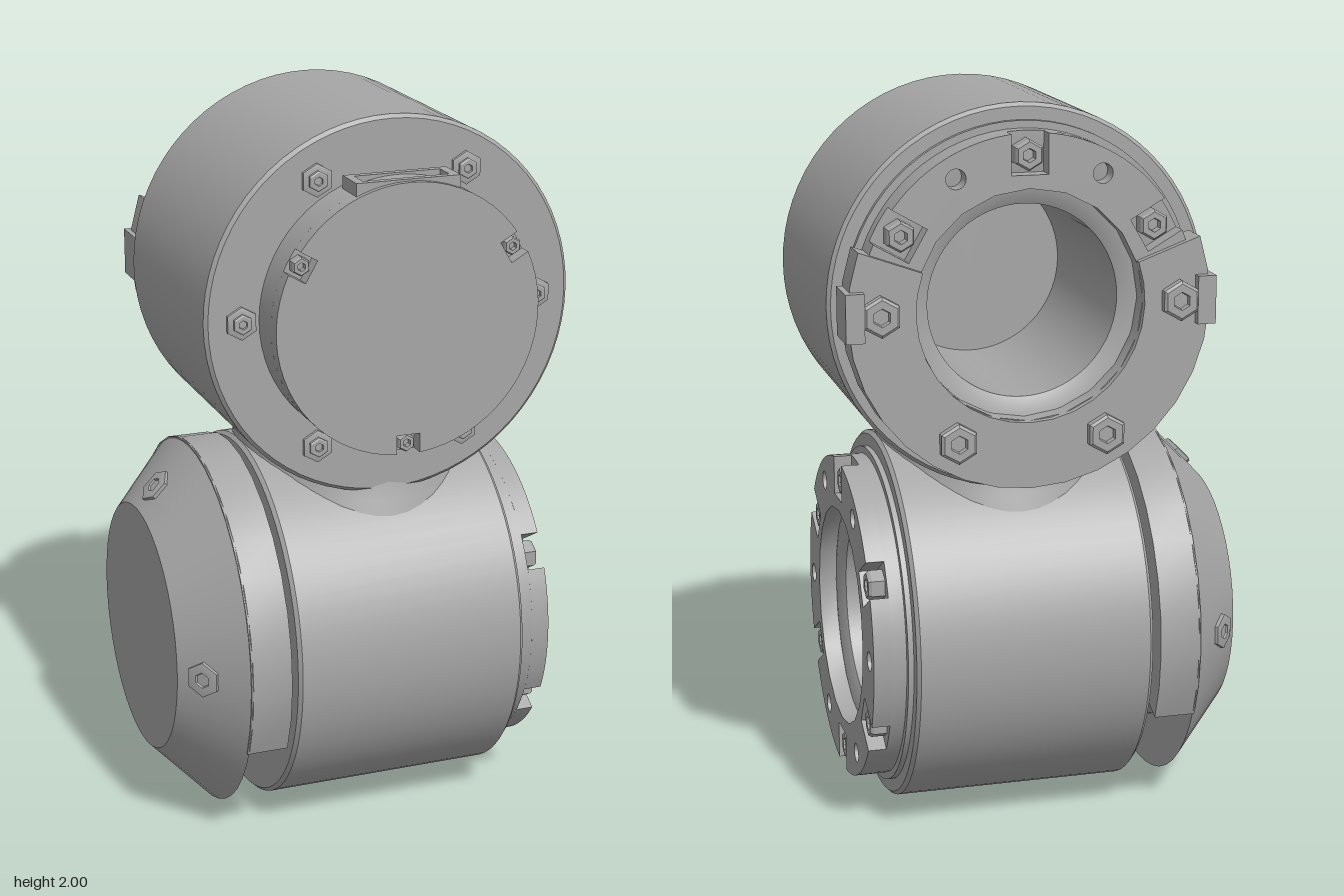
import * as THREE from 'three';
import { toCreasedNormals } from 'three/addons/utils/BufferGeometryUtils.js';

const metal = new THREE.MeshStandardMaterial({ color: 0xa6a6a6 });
metal.name = 'grey metal';
const rad = THREE.MathUtils.degToRad;

function add(parent, name, geometry, x = 0, y = 0, z = 0) {
  const mesh = new THREE.Mesh(toCreasedNormals(geometry, 0.5), metal);
  mesh.name = name;
  mesh.position.set(x, y, z);
  parent.add(mesh);
  return mesh;
}

// Turned part along z from [radius, z] pairs, listed from the low end outwards and up
function turned(points, segments = 64) {
  const profile = points.map(([r, z]) => new THREE.Vector2(r, z));
  return new THREE.LatheGeometry(profile, segments).rotateX(Math.PI / 2);
}

function extruded(shape, depth) {
  return new THREE.ExtrudeGeometry(shape, { depth, bevelEnabled: false, curveSegments: 10 });
}

function circleHole(shape, r, x = 0, y = 0) {
  const hole = new THREE.Path();
  hole.absarc(x, y, r, 0, Math.PI * 2, true);
  shape.holes.push(hole);
}

// Disc with straight-sided notches cut in from the rim
function notchedDisc(radius, floor, halfWidth, angles) {
  const shape = new THREE.Shape();
  const delta = Math.asin(halfWidth / radius);
  angles.forEach((deg, i) => {
    const a = rad(deg);
    const next = rad(i + 1 < angles.length ? angles[i + 1] : angles[0] + 360);
    const c = Math.cos(a), s = Math.sin(a);
    for (const side of [-halfWidth, halfWidth]) {
      const x = floor * c - side * s, y = floor * s + side * c;
      if (i === 0 && side < 0) shape.moveTo(x, y);
      else shape.lineTo(x, y);
    }
    shape.absarc(0, 0, radius, a + delta, next - delta, false);
  });
  return shape;
}

// Part of a ring between two angles in degrees
function ringSector(inner, outer, from, to) {
  const shape = new THREE.Shape();
  shape.absarc(0, 0, outer, rad(from), rad(to), false);
  shape.absarc(0, 0, inner, rad(to), rad(from), true);
  shape.closePath();
  return shape;
}

// Hexagonal head with a socket
function bolt(parent, deg, ring, z, size, height) {
  const geometry = turned([
    [0, -0.01], [size, -0.01], [size, height * 0.8], [size * 0.85, height],
    [size * 0.45, height], [size * 0.4, height * 0.5], [0, height * 0.5],
  ], 6);
  return add(parent, 'bolt', geometry, ring * Math.cos(rad(deg)), ring * Math.sin(rad(deg)), z);
}

// Bored drum with a notched flange, flange facing +z
function actuator(name, boltAngles) {
  const group = new THREE.Group();
  group.name = name;
  add(group, 'drum', turned([
    [0, -0.33], [0.51, -0.33], [0.52, -0.32], [0.52, 0.32], [0.51, 0.33], [0.475, 0.33],
    [0.475, 0.345], [0.455, 0.345], [0.455, 0.385], [0.3, 0.385], [0.26, 0.365],
    [0.26, -0.2], [0, -0.2],
  ], 72));
  const flange = notchedDisc(0.455, 0.345, 0.05, [30, 90, 150, 210, 270, 330]);
  circleHole(flange, 0.31);
  for (let deg = 0; deg < 360; deg += 60) {
    circleHole(flange, 0.027, 0.395 * Math.cos(rad(deg)), 0.395 * Math.sin(rad(deg)));
  }
  add(group, 'flange', extruded(flange, 0.05), 0, 0, 0.385);
  for (const deg of boltAngles) bolt(group, deg, 0.395, 0.385, 0.042, 0.045);
  return group;
}

export function createModel() {
  const model = new THREE.Group();
  model.name = 'doubleJoint';

  // Lower joint: axis along x, flange on the left
  const lower = actuator('lowerJoint', [30, 90, 150, 210, 270, 330]);
  lower.position.set(0.05, 0.52, 0);
  lower.rotation.y = Math.PI / 2;
  model.add(lower);

  // Conical end cap with a skirt left open at the bottom
  add(lower, 'endCap', turned([[0, -0.62], [0.35, -0.62], [0.52, -0.46], [0, -0.46]], 48));
  add(lower, 'capHub', turned([[0.365, -0.46], [0.365, -0.33]], 48));
  add(lower, 'capSkirt', extruded(ringSector(0.36, 0.52, -24, 204), 0.115), 0, 0, -0.465);
  const axis = new THREE.Vector3(0, 0, 1);
  for (const deg of [0, 90, 180]) {
    const screw = bolt(lower, deg, 0.41, -0.564, 0.05, 0.01);
    const normal = new THREE.Vector3(0.685 * Math.cos(rad(deg)), 0.685 * Math.sin(rad(deg)), -0.728);
    screw.name = 'capScrew';
    screw.quaternion.setFromUnitVectors(axis, normal.normalize());
  }

  // Upper joint: axis along z, flange at the back
  const upper = actuator('upperJoint', [30, 90, 150]);
  upper.position.set(0.05, 1.48, 0);
  upper.rotation.y = Math.PI;
  model.add(upper);

  // Clamp around the lower part of the back flange
  add(upper, 'clamp', extruded(ringSector(0.31, 0.49, 160, 380), 0.095), 0, 0, 0.36);
  for (const deg of [0, 180, 240, 300]) bolt(upper, deg, 0.405, 0.455, 0.055, 0.027);
  for (const side of [-1, 1]) {
    add(upper, 'clampLug', new THREE.BoxGeometry(0.05, 0.13, 0.12), side * 0.475, 0, 0.42);
  }

  // Front cover with screws in notches and around it
  const front = new THREE.Group();
  front.name = 'frontCover';
  front.position.copy(upper.position);
  model.add(front);
  add(front, 'coverBase', turned([[0.37, 0.33], [0.37, 0.425], [0, 0.425]]));
  add(front, 'coverPlate', extruded(notchedDisc(0.37, 0.315, 0.033, [30, 150, 270]), 0.04), 0, 0, 0.425);
  for (const deg of [30, 150, 270]) bolt(front, deg, 0.342, 0.425, 0.026, 0.03);
  for (let deg = 0; deg < 360; deg += 60) {
    bolt(front, deg, 0.42, 0.33, 0.045, 0.012);
    bolt(front, deg, 0.42, 0.34, 0.028, 0.012);
  }

  // Raised rectangular frame on top of the cover
  const frame = new THREE.Shape([[-0.145, -0.05], [0.145, -0.05], [0.145, 0.05], [-0.145, 0.05]]
    .map(([x, y]) => new THREE.Vector2(x, y)));
  frame.holes.push(new THREE.Path([[-0.12, -0.03], [-0.12, 0.03], [0.12, 0.03], [0.12, -0.03]]
    .map(([x, y]) => new THREE.Vector2(x, y))));
  add(front, 'topFrame', extruded(frame, 0.04).rotateX(-Math.PI / 2), 0, 0.335, 0.4);

  // Neck joining the two drums, flared at both ends
  const neck = turned([
    [0.37, -0.14], [0.345, -0.06], [0.325, 0], [0.32, 0.05], [0.33, 0.15],
  ], 48).rotateX(-Math.PI / 2);
  add(model, 'neck', neck, 0.05, 1, 0);

  return model;
}
